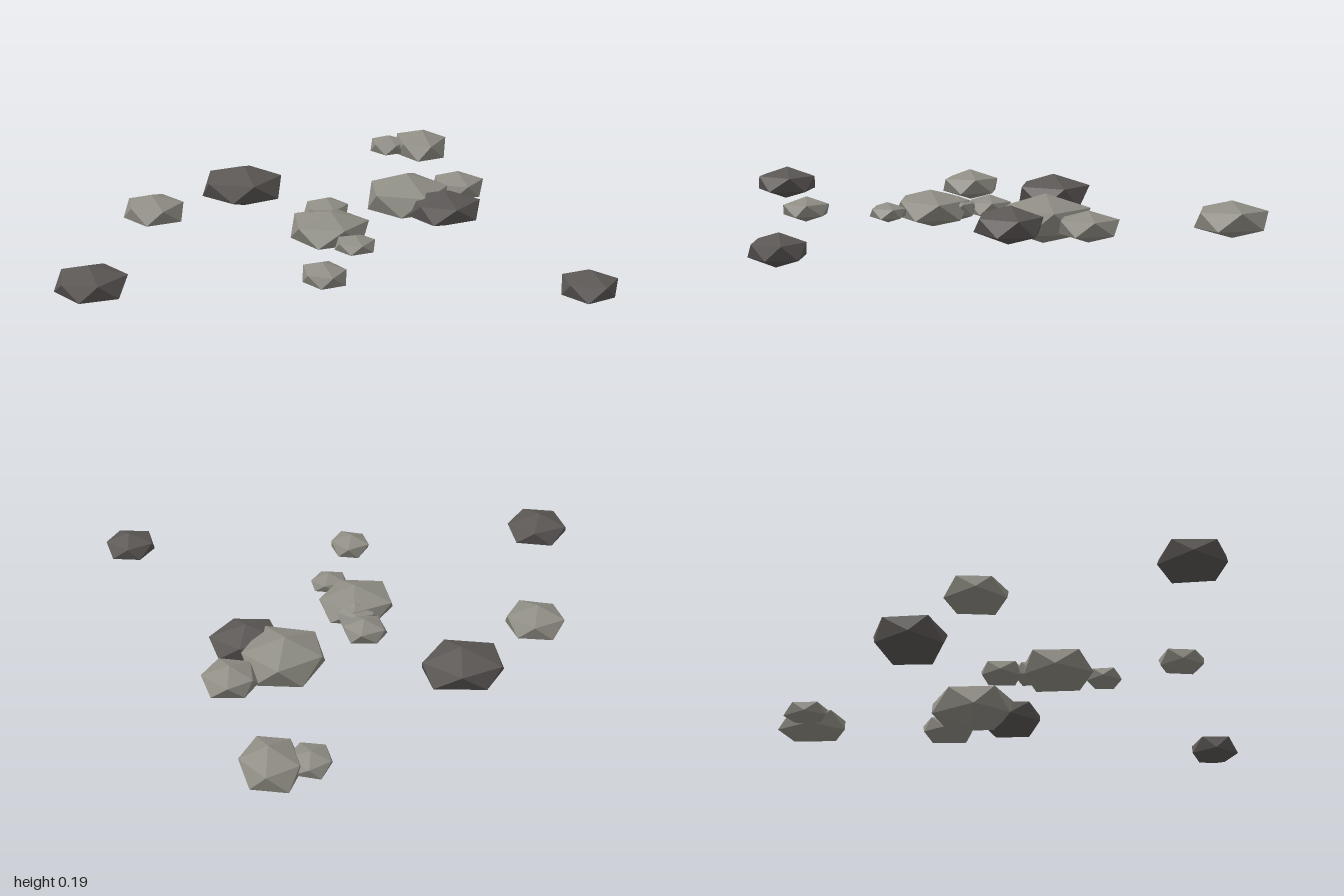
import * as THREE from 'three';

const paleStone = new THREE.MeshStandardMaterial({ color: 0x8f8d84 });
paleStone.name = 'paleStone';
const darkStone = new THREE.MeshStandardMaterial({ color: 0x5b5755 });
darkStone.name = 'darkStone';

// Small seeded generator, giving values from -1 to 1
function seeded(seed) {
  let s = seed * 7919 + 17;
  return () => {
    s = (s * 16807) % 2147483647;
    return (s / 2147483647) * 2 - 1;
  };
}

// Flattened twenty-sided rock: two poles and two staggered, uneven pentagon rings
function rockGeometry(width, depth, halfHeight, seed) {
  const rand = seeded(seed);
  for (let i = 0; i < 5; i++) rand();
  const ring = (offset, level) => Array.from({ length: 5 }, (_, i) => {
    const a = ((i + offset) / 5) * Math.PI * 2 + rand() * 0.09;
    const r = 1 + rand() * 0.06;
    return new THREE.Vector3(Math.cos(a) * r, level + rand() * 0.04, -Math.sin(a) * r);
  });
  const upper = ring(0, 0.447), lower = ring(0.5, -0.447);
  const rim = [...upper, ...lower];

  // Fit the rim to the wanted width and depth
  const box = new THREE.Box3().setFromPoints(rim);
  const size = box.getSize(new THREE.Vector3()), mid = box.getCenter(new THREE.Vector3());
  for (const p of rim) {
    p.set((p.x - mid.x) / size.x * width, p.y * halfHeight, (p.z - mid.z) / size.z * depth);
  }
  const top = new THREE.Vector3(rand() * 0.04 * width, halfHeight, rand() * 0.04 * depth);
  const bottom = new THREE.Vector3(rand() * 0.04 * width, -halfHeight, rand() * 0.04 * depth);

  const faces = [];
  for (let i = 0; i < 5; i++) {
    const j = (i + 1) % 5;
    faces.push(top, upper[i], upper[j]);
    faces.push(upper[i], lower[i], upper[j]);
    faces.push(lower[i], lower[j], upper[j]);
    faces.push(lower[j], lower[i], bottom);
  }
  const geometry = new THREE.BufferGeometry().setFromPoints(faces);
  geometry.computeVertexNormals(); // unshared corners keep the facets flat
  return geometry;
}

// Each rock: x, z, width, depth, half height
const darkRocks = [
  [-0.265, -0.365, 0.33, 0.29, 0.085],
  [-0.867, 0.685, 0.266, 0.25, 0.068],
  [0.525, 0.0, 0.29, 0.25, 0.072],
  [0.898, 0.89, 0.204, 0.2, 0.06],
];
const paleRocks = [
  [0.4, -0.155, 0.33, 0.35, 0.095],
  [0.043, 0.203, 0.305, 0.285, 0.074],
  [0.56, -0.853, 0.23, 0.285, 0.073],
  [-0.635, -0.088, 0.24, 0.235, 0.065],
  [0.627, -0.273, 0.215, 0.225, 0.06],
  [0.05, -0.022, 0.18, 0.166, 0.05],
  [-0.03, 0.695, 0.16, 0.18, 0.05],
  [0.422, -0.865, 0.165, 0.18, 0.045],
  [0.118, 0.39, 0.155, 0.14, 0.04],
  [0.06, 0.105, 0.16, 0.15, 0.05],
];

export function createModel() {
  const model = new THREE.Group();
  model.name = 'scatteredRocks';
  const scatter = (rocks, material, name, seed) => rocks.forEach(([x, z, w, d, h], i) => {
    const rock = new THREE.Mesh(rockGeometry(w, d, h, seed + i), material);
    rock.name = `${name}${i + 1}`;
    rock.position.set(x, 0.1, z);
    model.add(rock);
  });
  scatter(darkRocks, darkStone, 'darkRock', 1);
  scatter(paleRocks, paleStone, 'paleRock', 20);
  return model;
}
